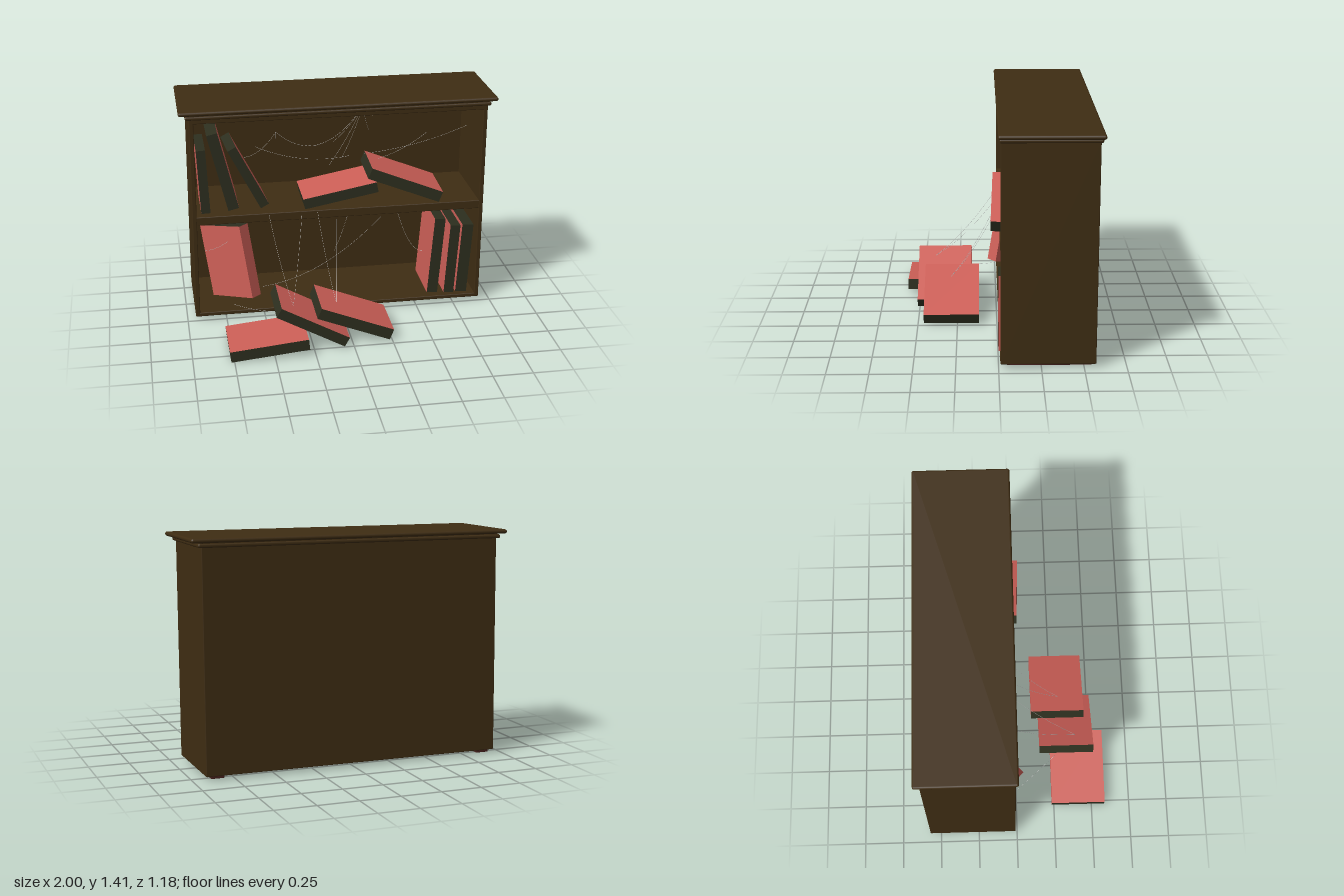
import * as THREE from 'three';
import { RoundedBoxGeometry } from 'three/addons/geometries/RoundedBoxGeometry.js';

const mat = (color) => new THREE.MeshStandardMaterial({ color });

export function createModel() {
  const model = new THREE.Group();
  const wood = mat(0x3f2d13), footWood = mat(0x46201c);
  const cover = mat(0xcd5f57), pages = mat(0x2d2f1f), silk = mat(0xcccccc);

  // Board given by its extents on each axis, with softly rounded edges
  function board(name, [x0, x1], [y0, y1], [z0, z1], radius = 0.005, material = wood) {
    const geo = new RoundedBoxGeometry(x1 - x0, y1 - y0, z1 - z0, 2, radius);
    const mesh = new THREE.Mesh(geo, material);
    mesh.name = name;
    mesh.position.set((x0 + x1) / 2, (y0 + y1) / 2, (z0 + z1) / 2);
    model.add(mesh);
    return mesh;
  }

  // Case, slightly out of plumb
  for (const [name, x] of [['rightSide', -0.928], ['leftSide', 0.917]]) {
    board(name, [x - 0.014, x + 0.014], [0.03, 1.365], [-0.57, -0.01]).rotation.z = -0.008;
  }
  board('backPanel', [-0.935, 0.92], [0.035, 1.36], [-0.57, -0.545]).rotation.z = -0.004;
  board('bottomPanel', [-0.945, 0.915], [0.03, 0.055], [-0.57, -0.01]);
  board('shelf', [-0.93, 0.915], [0.665, 0.72], [-0.56, -0.012]);
  board('topPanel', [-0.932, 0.928], [1.335, 1.365], [-0.57, -0.01]);

  // Crown moulding and top
  board('lowerMoulding', [-0.96, 0.957], [1.36, 1.384], [-0.582, -0.003], 0.01);
  board('middleMoulding', [-0.945, 0.94], [1.375, 1.395], [-0.575, -0.008]);
  board('top', [-1, 1], [1.388, 1.414], [-0.595, 0.005], 0.0125);

  // Runner feet
  for (const x of [-0.88, 0.85]) {
    board('foot', [x - 0.04, x + 0.04], [0.01, 0.034], [-0.545, -0.05], 0.002, footWood);
  }

  // Books: upright box with covers on the sides, spine at the back and pages elsewhere
  const bookFaces = [cover, cover, pages, pages, pages, cover];
  function book(name, position, [w, h, d], tilt, yaw = 0, pitch = 0) {
    const mesh = new THREE.Mesh(new THREE.BoxGeometry(w, h, d), bookFaces);
    mesh.name = name;
    mesh.position.set(...position);
    const rad = THREE.MathUtils.degToRad;
    mesh.rotation.set(rad(pitch), rad(yaw), rad(tilt), 'ZXY');
    model.add(mesh);
  }
  const large = [0.072, 0.49, 0.35];
  // upper shelf
  book('standingBook', [-0.862, 0.935, -0.22], [0.058, 0.42, 0.32], 2.5);
  book('leaningBook', [-0.737, 0.99, -0.245], [0.07, 0.52, 0.35], 13.5);
  book('leaningBook', [-0.587, 0.935, -0.24], [0.06, 0.44, 0.32], 27, 4);
  book('lyingBook', [0.005, 0.8, -0.2], [0.068, 0.48, 0.33], 100.5);
  book('overhangingBook', [0.415, 0.87, -0.14], large, 68.5, 0, -2);
  // lower shelf
  book('slumpedBook', [-0.705, 0.36, -0.14], [0.08, 0.48, 0.35], 8, -136, -10);
  book('standingBook', [0.633, 0.34, -0.195], [0.07, 0.525, 0.35], -4.7);
  book('standingBook', [0.735, 0.32, -0.17], [0.066, 0.48, 0.34], -4);
  book('standingBook', [0.818, 0.32, -0.17], [0.074, 0.48, 0.34], -4);
  // fallen on the floor
  book('fallenBook', [-0.532, 0.064, 0.41], [0.07, 0.485, 0.35], 95.5);
  book('fallenBook', [-0.255, 0.162, 0.337], [0.066, 0.48, 0.352], 61);
  book('fallenBook', [0.018, 0.138, 0.288], large, 68.3);

  // Cobwebs: fine strands sagging between two points
  const webs = new THREE.Group();
  webs.name = 'cobwebs';
  model.add(webs);
  function strand(a, b, sag = 0.03) {
    const start = new THREE.Vector3(...a), end = new THREE.Vector3(...b);
    const mid = start.clone().lerp(end, 0.5);
    mid.y -= 2 * sag;
    const curve = new THREE.QuadraticBezierCurve3(start, mid, end);
    const mesh = new THREE.Mesh(new THREE.TubeGeometry(curve, 12, 0.001, 3), silk);
    mesh.name = 'strand';
    webs.add(mesh);
  }
  // fan hanging from the top panel
  const peak = [0.19, 1.3, -0.3];
  for (const [x, y, z] of [[-0.04, 0.93, -0.25], [0.06, 0.94, -0.35], [0.02, 1.02, -0.45],
    [0.25, 1.1, -0.4], [0.29, 1.17, -0.5]]) strand(peak, [x, y, z], 0.02);
  // swags across the upper compartment
  strand([-0.37, 1.14, -0.35], peak, 0.17);
  strand([-0.37, 1.14, -0.35], [-0.37, 0.95, -0.4], 0);
  strand([-0.62, 1, -0.3], [-0.37, 1.14, -0.35], 0.05);
  strand([-0.5, 1.03, -0.4], [0.1, 0.97, -0.3], 0.05);
  strand([0.2, 0.98, -0.3], [0.9, 1.12, -0.35], 0.03);
  strand([0.2, 0.96, -0.2], [0.65, 1.05, -0.45], 0.03);
  // lower compartment
  strand([-0.5, 0.17, -0.1], [0.43, 0.62, -0.35], 0.12);
  strand([0, 0.3, -0.3], [0.12, 0.66, -0.3], 0.03);
  strand([0.42, 0.6, -0.35], [0.6, 0.28, -0.25], 0.1);
  strand([-0.87, 0.45, -0.1], [-0.6, 0.62, -0.1], 0.04);
  // threads from the shelf edge to the fallen books
  for (const [x, z, tip] of [[-0.46, -0.01, [-0.365, 0.265, 0.4]], [-0.25, -0.01, [-0.365, 0.265, 0.4]],
    [-0.15, -0.01, [-0.08, 0.215, 0.295]], [-0.03, -0.01, [-0.08, 0.215, 0.295]]]) {
    strand([x, 0.71, z], tip, 0.04);
  }
  strand([-0.7, 0.1, -0.01], [-0.47, 0.17, 0.27], 0.01);
  return model;
}
